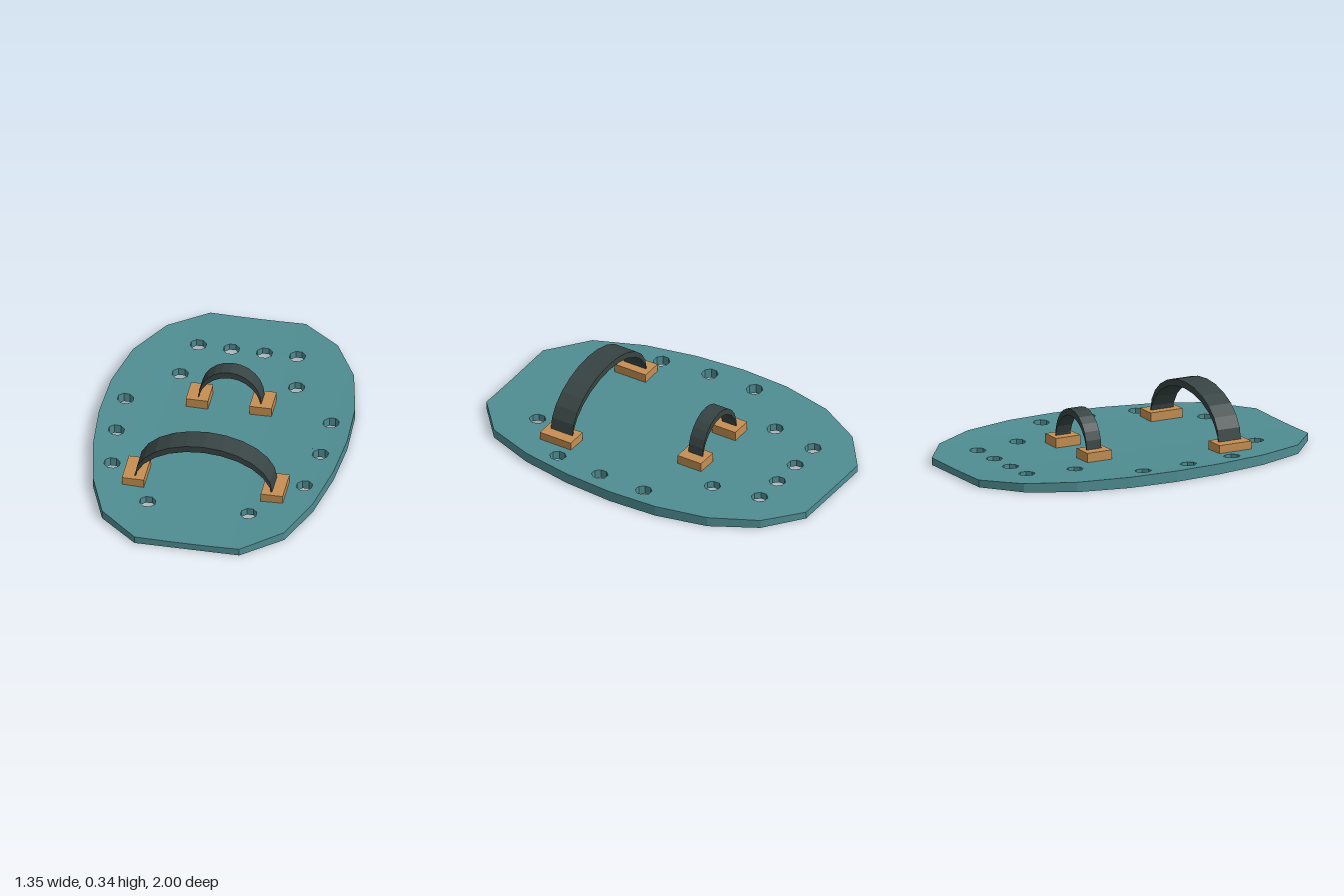
import * as THREE from 'three';

const teal = new THREE.MeshStandardMaterial({ name: 'teal board', color: 0x4f8d92 });
const tan = new THREE.MeshStandardMaterial({ name: 'tan block', color: 0xc48f52 });
const dark = new THREE.MeshStandardMaterial({ name: 'dark strap', color: 0x374443 });

// Height of the dished top face
const topAt = (x) => 0.037 + 0.05 * x * x;

// Keep the part of a convex polygon where side * (x - c) >= 0
function clip(poly, c, side) {
  const out = [];
  poly.forEach((p, i) => {
    const q = poly[(i + 1) % poly.length];
    const dp = side * (p.x - c), dq = side * (q.x - c);
    if (dp >= 0) out.push(p);
    if (dp * dq < 0) out.push(p.clone().lerp(q, dp / (dp - dq)));
  });
  return out;
}

// Cut a geometry into strips across x so that it can be bent
function sliceX(geometry, step, count) {
  const src = geometry.index ? geometry.toNonIndexed() : geometry;
  const pos = src.attributes.position;
  const points = [];
  for (let t = 0; t < pos.count; t += 3) {
    const tri = [0, 1, 2].map((k) => new THREE.Vector3().fromBufferAttribute(pos, t + k));
    for (let s = -count; s < count; s++) {
      const poly = clip(clip(tri, s * step, 1), (s + 1) * step, -1);
      for (let k = 1; k + 1 < poly.length; k++) points.push(poly[0], poly[k], poly[k + 1]);
    }
  }
  return new THREE.BufferGeometry().setFromPoints(points);
}

function makeBoard() {
  // Right half of the outline, back to front, then mirrored
  const half = [[0.26, -1], [0.465, -0.84], [0.602, -0.59], [0.665, -0.3], [0.677, -0.02],
    [0.655, 0.26], [0.6, 0.55], [0.497, 0.82], [0.285, 1]];
  const outline = [...half, ...half.map(([x, z]) => [-x, z]).reverse()];
  const shape = new THREE.Shape(outline.map(([x, z]) => new THREE.Vector2(x, z)));

  // Mirrored pairs of through holes
  const holes = [[0.27, -0.713], [0.09, -0.713], [0.317, -0.445], [0.56, -0.163],
    [0.556, 0.116], [0.524, 0.4], [0.275, 0.683]];
  for (const [x, z] of holes) {
    for (const side of [-1, 1]) {
      const ring = [];
      for (let i = 0; i < 8; i++) {
        const a = ((i + 0.5) / 8) * Math.PI * 2;
        ring.push(new THREE.Vector2(side * x + 0.045 * Math.cos(a), z + 0.045 * Math.sin(a)));
      }
      shape.holes.push(new THREE.Path(ring));
    }
  }

  const slab = new THREE.ExtrudeGeometry(shape, { depth: 1, bevelEnabled: false });
  slab.rotateX(Math.PI / 2).translate(0, 1, 0);
  const geometry = sliceX(slab, 0.115, 6);
  const pos = geometry.attributes.position;
  for (let i = 0; i < pos.count; i++) {
    pos.setY(i, pos.getY(i) > 0.5 ? topAt(pos.getX(i)) : 0);
  }
  geometry.computeVertexNormals();
  const board = new THREE.Mesh(geometry, teal);
  board.name = 'board';
  return board;
}

// Half-ellipse band of constant vertical thickness
function makeStrap(radius, top, zMin, zMax) {
  const base = 0.09, thickness = 0.037, n = 12;
  const outer = [], inner = [];
  for (let i = 0; i <= n; i++) {
    const a = (i / n) * Math.PI;
    const x = radius * Math.cos(a), y = base + (top - base) * Math.sin(a);
    outer.push(new THREE.Vector2(x, y));
    inner.unshift(new THREE.Vector2(x, y - thickness));
  }
  const shape = new THREE.Shape([...outer, ...inner]);
  const geometry = new THREE.ExtrudeGeometry(shape, { depth: zMax - zMin, bevelEnabled: false });
  geometry.translate(0, 0, zMin);
  return new THREE.Mesh(geometry, dark);
}

// A strap with an anchor block under each end
function makeBinding(name, strap, blockX, blockZ, blockDepth) {
  const group = new THREE.Group();
  group.name = name;
  strap.name = name + 'Strap';
  group.add(strap);
  for (const side of [-1, 1]) {
    const block = new THREE.Mesh(new THREE.BoxGeometry(0.12, 0.053, blockDepth), tan);
    block.position.set(side * blockX, 0.0645, blockZ);
    block.name = name + (side > 0 ? 'LeftBlock' : 'RightBlock');
    group.add(block);
  }
  return group;
}

export function createModel() {
  const model = new THREE.Group();
  model.name = 'strappedBoard';
  model.add(
    makeBoard(),
    makeBinding('front', makeStrap(0.375, 0.337, 0.402, 0.538), 0.378, 0.47, 0.195),
    makeBinding('back', makeStrap(0.172, 0.277, -0.293, -0.203), 0.173, -0.247, 0.148),
  );
  return model;
}
